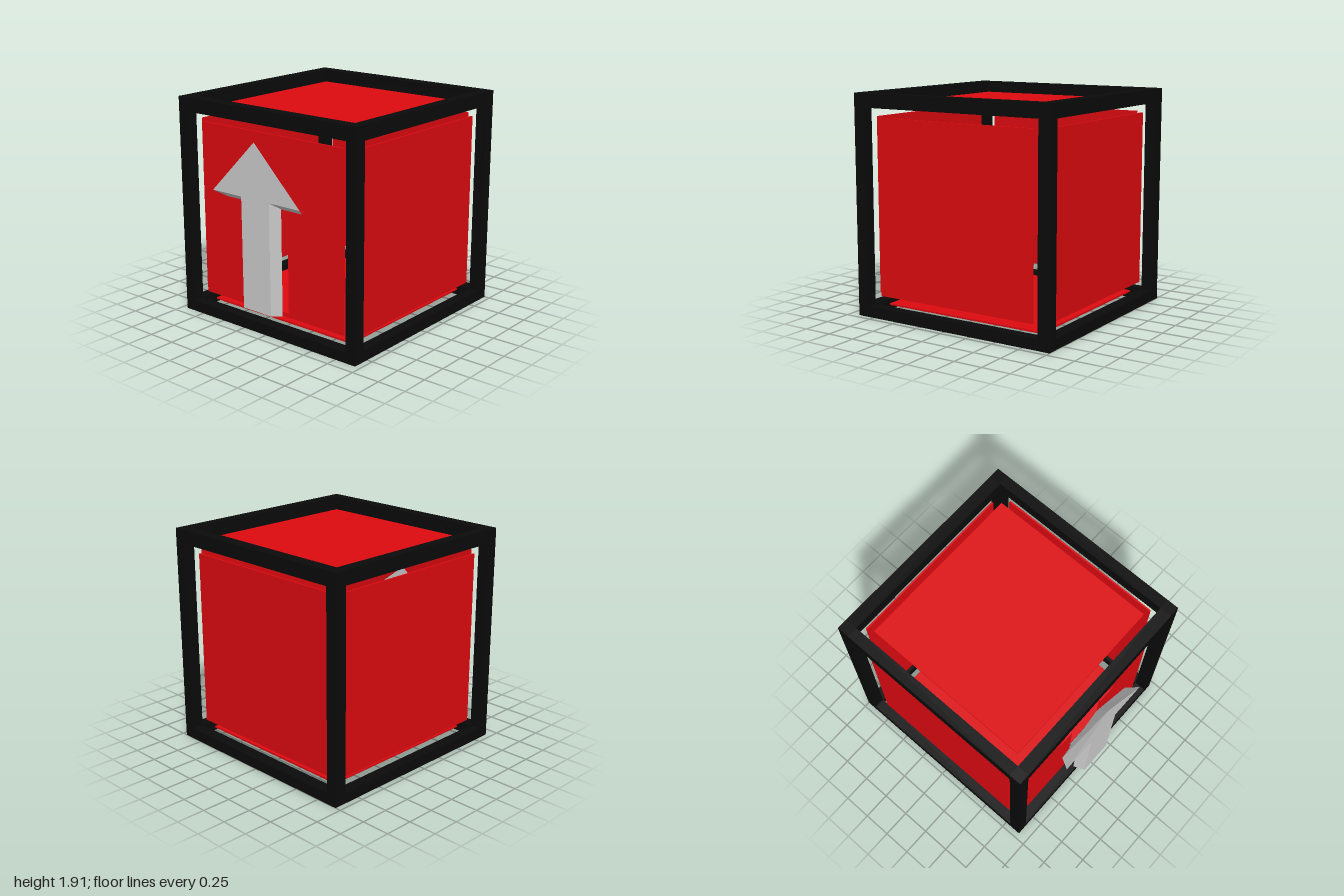
import * as THREE from 'three';

const black = new THREE.MeshStandardMaterial({ color: 0x0a0a0a });
const red = new THREE.MeshStandardMaterial({ color: 0xdd0a10, side: THREE.DoubleSide });
const grey = new THREE.MeshStandardMaterial({ color: 0xcccccc, flatShading: true });

// Box given by its minimum and maximum corners
function block(name, material, [x0, y0, z0], [x1, y1, z1]) {
  const mesh = new THREE.Mesh(new THREE.BoxGeometry(x1 - x0, y1 - y0, z1 - z0), material);
  mesh.position.set((x0 + x1) / 2, (y0 + y1) / 2, (z0 + z1) / 2);
  mesh.name = name;
  return mesh;
}

// Arrow outline from half-widths and heights, counter-clockwise
function arrowOutline(shaft, head, bottom, neck, tip) {
  const half = [[shaft, bottom], [shaft, neck], [head, neck]];
  const mirrored = half.map(([x, y]) => [-x, y]).reverse();
  return [...half, [0, tip], ...mirrored].map(([x, y]) => new THREE.Vector2(x, y));
}

export function createModel() {
  const model = new THREE.Group();

  // Outer and inner limits of the cube frame: [outer, inner, inner, outer]
  const X = [-0.95, -0.855, 0.855, 0.95];
  const Y = [0, 0.095, 1.79, 1.91];
  const Z = [-1, -0.89, 0.8, 0.905];

  // Twelve frame bars, four along each axis
  const frame = new THREE.Group();
  frame.name = 'frame';
  for (const a of [0, 2]) {
    for (const b of [0, 2]) {
      frame.add(
        block('uprightBar', black, [X[a], Y[0], Z[b]], [X[a + 1], Y[3], Z[b + 1]]),
        block('crossBar', black, [X[1], Y[a], Z[b]], [X[2], Y[a + 1], Z[b + 1]]),
        block('depthBar', black, [X[a], Y[b], Z[1]], [X[a + 1], Y[b + 1], Z[2]])
      );
    }
  }
  model.add(frame);

  // Five plain floating panels
  const t = 0.015, w = 0.765, low = 0.18, high = 1.705, back = -0.8, front = 0.72;
  model.add(
    block('leftPanel', red, [0.86, low, back], [0.86 + t, high, front]),
    block('rightPanel', red, [-0.86 - t, low, back], [-0.86, high, front]),
    block('topPanel', red, [-w, 1.805, back], [w, 1.805 + t, front]),
    block('bottomPanel', red, [-w, 0.075, -0.82], [w, 0.075 + t, front]),
    block('backPanel', red, [-w, low, -0.895 - t], [w, high, -0.895])
  );

  // Front panel with an arrow-shaped opening
  const sheet = new THREE.Shape([[-w, low], [w, low], [w, high], [-w, high]]
    .map(([x, y]) => new THREE.Vector2(x, y)));
  sheet.holes.push(new THREE.Path(arrowOutline(0.185, 0.37, 0.215, 1.118, 1.4)));
  const frontPanel = new THREE.Mesh(
    new THREE.ExtrudeGeometry(sheet, { depth: t, bevelEnabled: false }), red);
  frontPanel.position.z = 0.805;
  frontPanel.name = 'frontPanel';
  model.add(frontPanel);

  // Arrow: extruded face whose rear outline is moved to a second outline
  const face = arrowOutline(0.152, 0.473, 0.24, 1.2, 1.67);
  const rear = arrowOutline(0.19, 0.408, 0.217, 1.135, 1.46);
  const geometry = new THREE.ExtrudeGeometry(new THREE.Shape(face), { depth: 0.1, bevelEnabled: false });
  const pos = geometry.attributes.position;
  for (let i = 0; i < pos.count; i++) {
    if (pos.getZ(i) > 0.05) continue;
    const k = face.findIndex(p => Math.hypot(p.x - pos.getX(i), p.y - pos.getY(i)) < 1e-4);
    pos.setXY(i, rear[k].x, rear[k].y);
  }
  geometry.computeVertexNormals();
  const arrow = new THREE.Mesh(geometry, grey);
  arrow.position.z = 0.9;
  arrow.name = 'arrow';
  model.add(arrow);

  return model;
}
